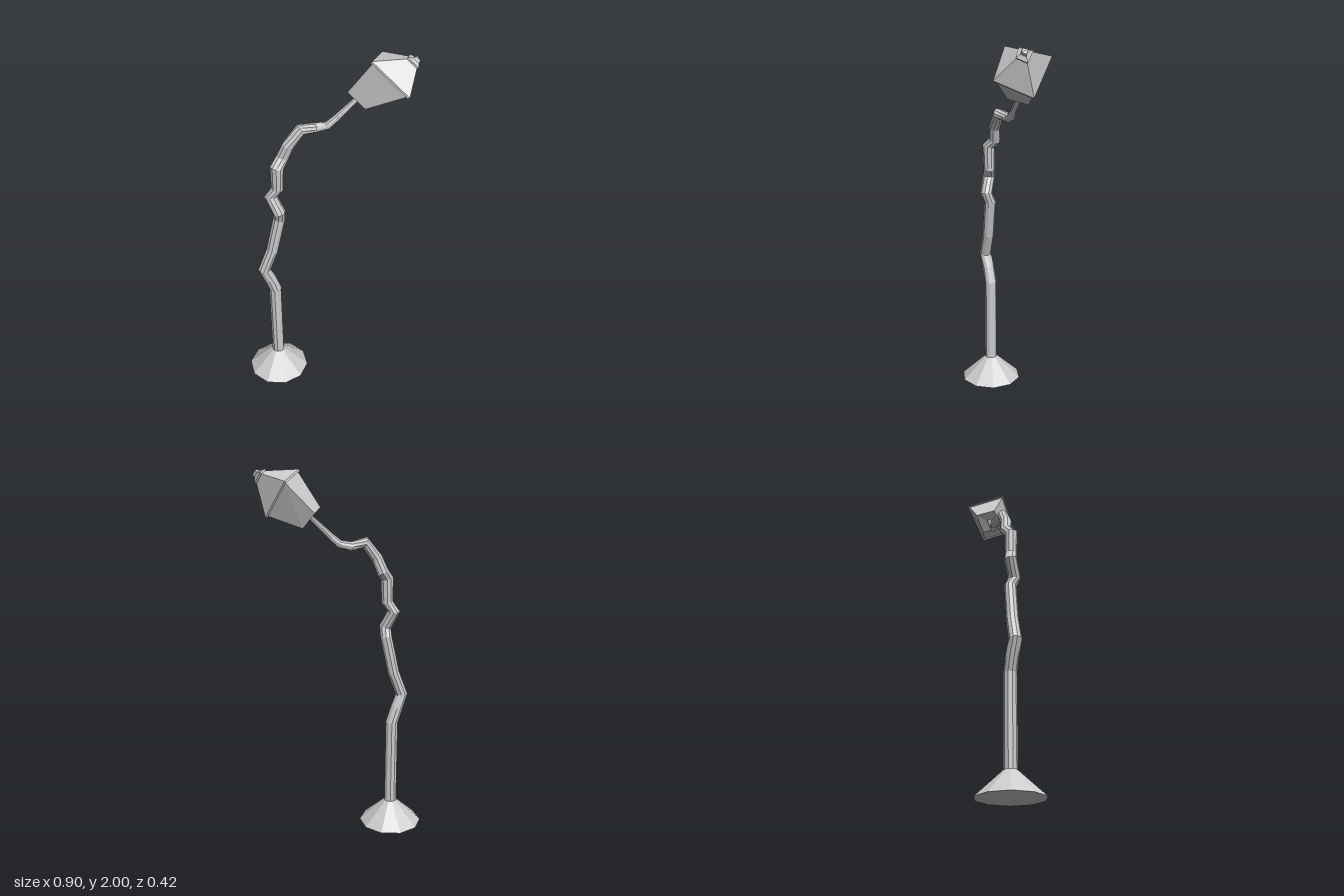
import * as THREE from 'three';

const material = new THREE.MeshStandardMaterial({ color: 0xcccccc, flatShading: true });
const V = (x, y, z) => new THREE.Vector3(x, y, z);

// Skins a list of rings (arrays of points, counter-clockwise about the path) and caps both ends.
function loft(rings) {
  const n = rings[0].length;
  const index = [];
  for (let i = 0; i < rings.length - 1; i++) {
    for (let j = 0; j < n; j++) {
      const a = i * n + j, b = i * n + (j + 1) % n;
      index.push(a, b, b + n, a, b + n, a + n);
    }
  }
  const end = (rings.length - 1) * n;
  for (let j = 1; j < n - 1; j++) index.push(0, j + 1, j, end, end + j, end + j + 1);
  const geometry = new THREE.BufferGeometry().setFromPoints(rings.flat());
  geometry.setIndex(index);
  const flat = geometry.toNonIndexed();
  flat.computeVertexNormals();
  return flat;
}

// Rings of the given radii set square to a bent path.
function pathRings(path, sides) {
  const points = path.map(([x, y, z]) => V(x, y, z));
  return points.map((p, i) => {
    const before = points[Math.max(i - 1, 0)], after = points[Math.min(i + 1, points.length - 1)];
    const t = after.clone().sub(before).normalize();
    const v = V(0, 0, 1).addScaledVector(t, -t.z).normalize();
    const w = t.clone().cross(v);
    return Array.from({ length: sides }, (_, k) => {
      const angle = k / sides * Math.PI * 2;
      return p.clone().addScaledVector(v, Math.cos(angle) * path[i][3])
        .addScaledVector(w, Math.sin(angle) * path[i][3]);
    });
  });
}

// Scales a ring about its centre and shifts it.
function scaleRing(ring, s, shift = V(0, 0, 0)) {
  const c = ring.reduce((sum, p) => sum.add(p), V(0, 0, 0)).divideScalar(ring.length);
  return ring.map(p => p.clone().sub(c).multiplyScalar(s).add(c).add(shift));
}

export function createModel() {
  const group = new THREE.Group();
  const add = (name, geometry) => {
    const mesh = new THREE.Mesh(geometry, material);
    mesh.name = name;
    group.add(mesh);
    return mesh;
  };

  // Ten-sided conical foot
  add('foot', new THREE.CylinderGeometry(0.035, 0.175, 0.13, 10, 1, false, Math.PI / 2))
    .position.set(-0.28, 0.065, 0.042);

  // Crooked post and tapering arm: x, y, z, radius
  const path = [
    [-0.28, 0.12, 0.042, 0.035], [-0.28, 0.61, 0.042, 0.035],
    [-0.305, 0.69, 0.052, 0.034], [-0.333, 0.77, 0.068, 0.034],
    [-0.285, 0.9, 0.055, 0.033], [-0.24, 1.11, 0.046, 0.033],
    [-0.235, 1.16, 0.068, 0.034], [-0.28, 1.25, 0.048, 0.034],
    [-0.243, 1.3, 0.05, 0.032], [-0.24, 1.43, 0.052, 0.036],
    [-0.215, 1.47, 0.022, 0.033], [-0.185, 1.54, 0.025, 0.031],
    [-0.12, 1.625, 0.008, 0.031], [-0.05, 1.612, -0.04, 0.025],
    [0.01, 1.625, -0.043, 0.021], [0.055, 1.665, -0.052, 0.018],
    [0.16, 1.768, -0.074, 0.012],
  ];
  add('post', loft(pathRings(path, 10)));

  // Lantern: narrow floor and wide, slightly skewed eaves
  const floor = [V(0.13, 1.79, -0.148), V(0.107, 1.81, -0.041), V(0.196, 1.74, -0.004), V(0.193, 1.71, -0.11)];
  const eaves = [V(0.27, 1.95, -0.21), V(0.218, 1.995, 0.012), V(0.4, 1.85, 0.085), V(0.38, 1.765, -0.11)];
  const axis = V(0.78, 0.62, 0);
  const along = d => axis.clone().multiplyScalar(d);
  add('lanternBody', loft([floor, scaleRing(eaves, 0.92, along(-0.004))]));

  // Hipped roof with a thin lip
  const roofTop = scaleRing(eaves, 0.26, along(0.117));
  add('lanternRoof', loft([scaleRing(eaves, 0.98, along(-0.01)), eaves, roofTop]));

  // Small flared finial
  add('finial', loft([
    scaleRing(roofTop, 0.95, along(-0.01)), scaleRing(roofTop, 1.15, along(0.008)),
    scaleRing(roofTop, 0.55, along(0.022)), scaleRing(roofTop, 0.45, along(0.036)),
  ]));

  return group;
}
